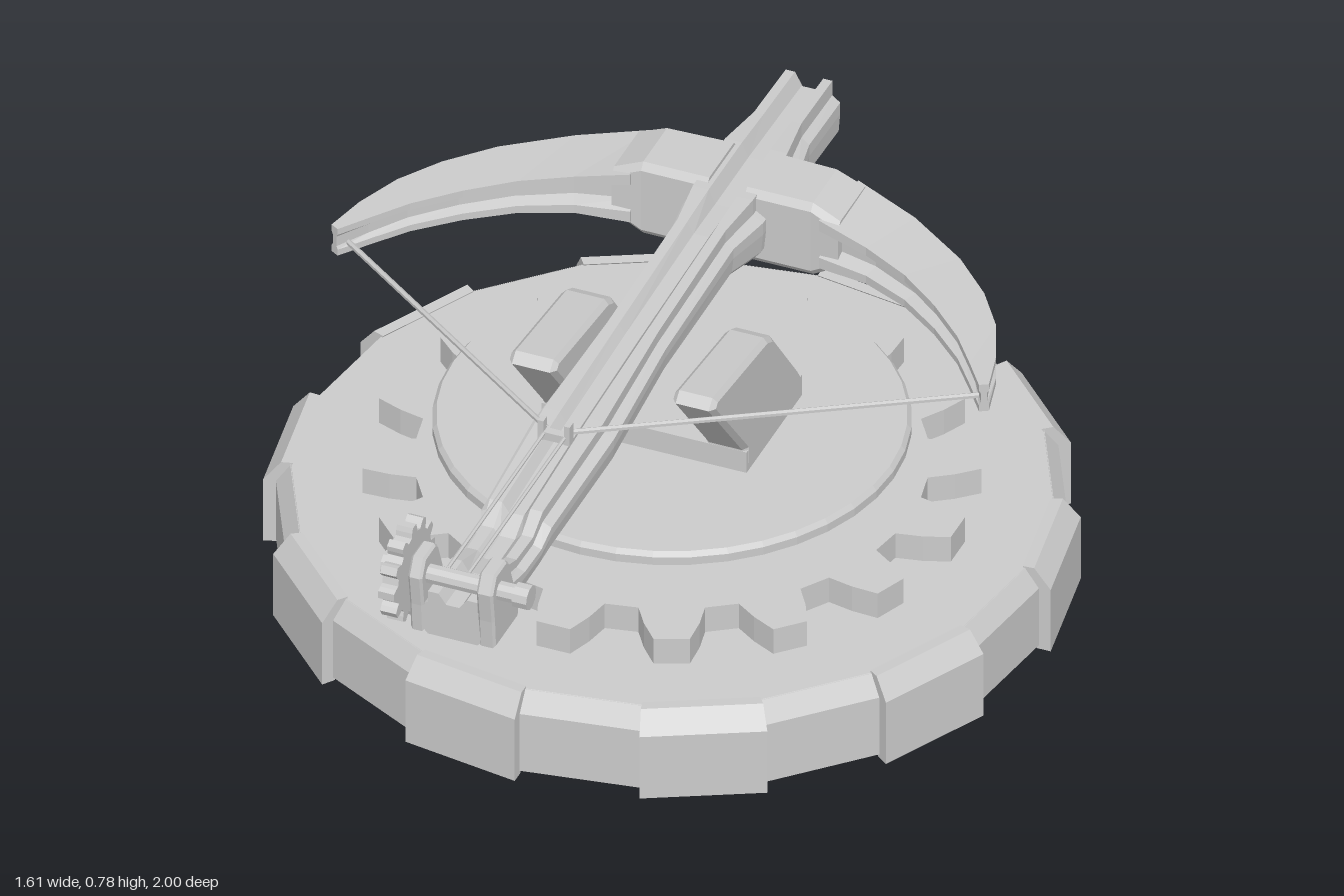
import * as THREE from 'three';

const grey = new THREE.MeshStandardMaterial({ color: 0xcccccc, flatShading: true });
const greyDouble = new THREE.MeshStandardMaterial({ color: 0xcccccc, flatShading: true, side: THREE.DoubleSide });
const V = (x, y, z) => new THREE.Vector3(x, y, z);
const BASE_Z = -0.2;

// Closed solid through equal-length rings of points, facing outward either way round
function loft(rings) {
  const tris = [];
  const n = rings[0].length;
  for (let i = 0; i + 1 < rings.length; i++) {
    for (let j = 0; j < n; j++) {
      const k = (j + 1) % n;
      const [a, b, c, d] = [rings[i][j], rings[i][k], rings[i + 1][k], rings[i + 1][j]];
      tris.push([a, b, c], [a, c, d]);
    }
  }
  [rings[0], rings[rings.length - 1]].forEach((ring, end) => {
    const mid = ring.reduce((s, p) => s.add(p), V(0, 0, 0)).divideScalar(n);
    ring.forEach((p, j) => {
      const q = ring[(j + 1) % n];
      tris.push(end ? [mid, p, q] : [mid, q, p]);
    });
  });
  const volume = tris.reduce((s, [a, b, c]) => s + a.dot(b.clone().cross(c)), 0);
  const pts = tris.flatMap(t => (volume < 0 ? [t[0], t[2], t[1]] : t));
  const geo = new THREE.BufferGeometry().setFromPoints(pts);
  geo.computeVertexNormals();
  return geo;
}

// Toothed wheel in the XY plane, thickness along z
function gearGeometry(teeth, root, tip, depth, hole) {
  const shape = new THREE.Shape();
  const step = (Math.PI * 2) / teeth;
  for (let i = 0; i < teeth; i++) {
    [[-0.33, root], [-0.25, (root + tip) / 2], [-0.15, tip], [0.15, tip], [0.25, (root + tip) / 2], [0.33, root]]
      .forEach(([f, r], j) => {
        const a = (i + f) * step;
        shape[i + j ? 'lineTo' : 'moveTo'](r * Math.cos(a), r * Math.sin(a));
      });
  }
  shape.closePath();
  shape.holes.push(new THREE.Path().absarc(0, 0, hole, 0, Math.PI * 2, true));
  return new THREE.ExtrudeGeometry(shape, { depth, bevelEnabled: false, curveSegments: 12 });
}

// Side outline given as (z, y), extruded from x0 to x1 with bevelled edges
function sidePlate(points, x0, x1, bevel) {
  const shape = new THREE.Shape(points.map(([z, y]) => new THREE.Vector2(-z, y)));
  const geo = new THREE.ExtrudeGeometry(shape, {
    depth: x1 - x0 - 2 * bevel, bevelSize: bevel, bevelThickness: bevel, bevelOffset: -bevel, bevelSegments: 1,
  });
  return geo.rotateY(Math.PI / 2).translate(x0 + bevel, 0, 0);
}

// Thin round bar between two points
function bar(a, b, r) {
  return new THREE.TubeGeometry(new THREE.LineCurve3(a, b), 1, r, 6);
}

const lathe = (profile, sides) => new THREE.LatheGeometry(profile.map(p => new THREE.Vector2(...p)), sides);

export function createModel() {
  const model = new THREE.Group();
  const add = (name, geo, mat = grey) => {
    const mesh = new THREE.Mesh(geo, mat);
    mesh.name = name;
    model.add(mesh);
    return mesh;
  };

  // Hollow base: thin ring, floor plate and every other block raised
  add('baseRing', lathe([[0.778, 0.008], [0.778, 0.145], [0.748, 0.187]], 20), greyDouble).position.z = BASE_Z;
  add('baseFloor', new THREE.RingGeometry(0.15, 0.75, 20).rotateX(-Math.PI / 2), greyDouble).position.set(0, 0.186, BASE_Z);
  const block = [[0.774, 0], [0.803, 0], [0.803, 0.148], [0.768, 0.191], [0.744, 0.19], [0.774, 0.145]];
  for (let i = 0; i < 10; i++) {
    const rings = [18 + 36 * i, 36 + 36 * i].map(deg => {
      const a = THREE.MathUtils.degToRad(deg);
      return block.map(([r, y]) => V(r * Math.sin(a), y, r * Math.cos(a)));
    });
    add('baseBlock', loft(rings)).position.z = BASE_Z;
  }

  // Turning gear, reaching below the floor, with a shallow socket underneath
  add('baseGear', gearGeometry(16, 0.505, 0.607, 0.105, 0.152).rotateX(-Math.PI / 2)).position.set(0, 0.14, BASE_Z);
  add('gearSocket', new THREE.CircleGeometry(0.153, 24).rotateX(Math.PI / 2)).position.set(0, 0.17, BASE_Z);
  const table = [[0, 0.246], [0.36, 0.246], [0.36, 0.325], [0.47, 0.325], [0.47, 0.343], [0.462, 0.353], [0, 0.353]];
  add('turntable', lathe(table, 40)).position.z = BASE_Z;

  // Bracket with two leaning arms
  const arm = [[-0.072, 0.36], [-0.072, 0.405], [0.1, 0.613], [0.08, 0.632], [-0.18, 0.605], [-0.21, 0.59], [-0.355, 0.405], [-0.355, 0.36]];
  add('bracketArm', sidePlate(arm, -0.225, -0.125, 0.01));
  add('bracketArm', sidePlate(arm, 0.122, 0.212, 0.01));
  add('bracketPlate', new THREE.BoxGeometry(0.435, 0.05, 0.283).translate(-0.006, 0.377, -0.213));

  // Grooved stock: z, half width, bottom, top
  const stock = [
    [0.92, 0.07, 0.553, 0.655], [0.8, 0.07, 0.553, 0.655], [0.72, 0.07, 0.555, 0.627],
    [0.64, 0.072, 0.56, 0.627], [0.595, 0.075, 0.565, 0.66], [0.3, 0.085, 0.583, 0.682],
    [0, 0.07, 0.598, 0.694], [-0.35, 0.068, 0.595, 0.707], [-0.46, 0.085, 0.57, 0.712],
    [-0.63, 0.088, 0.57, 0.712], [-0.74, 0.067, 0.572, 0.707], [-0.9, 0.066, 0.565, 0.703],
  ];
  const stockRing = ([z, w, b, t]) => {
    const h = t - b;
    const half = [[w * 0.75, b], [w * 0.95, b + 0.15 * h], [w, b + 0.45 * h], [w, b + 0.65 * h],
      [w * 0.75, b + 0.75 * h], [w * 0.75, t], [0.03, t], [0.016, t - 0.22 * h]];
    return [...half, ...half.map(([x, y]) => [-x, y]).reverse()].map(([x, y]) => V(x, y, z));
  };
  add('stock', loft(stock.map(stockRing)));
  add('stockNose', loft([stockRing([-0.895, 0.055, 0.57, 0.695]), stockRing([-0.928, 0.05, 0.595, 0.645])]));

  for (const s of [-1, 1]) {
    // Clamp block between stock and limb: x, bottom, top, back z, front z
    const clamp = [[0.04, 0.548, 0.72, -0.625, -0.475], [0.18, 0.548, 0.72, -0.62, -0.475], [0.24, 0.585, 0.695, -0.62, -0.47]];
    add('bowClamp', loft(clamp.map(([x, b, t, z0, z1]) => [
      [z0, b + 0.015], [z0 + 0.012, b], [z1 - 0.012, b], [z1, b + 0.015],
      [z1, t - 0.015], [z1 - 0.012, t], [z0 + 0.012, t], [z0, t - 0.015],
    ].map(([z, y]) => V(s * x, y, z)))));

    // Curved limb channelled on both faces: outer x z, inner x z, bottom, top
    const limb = [
      [0.22, -0.622, 0.2, -0.468, 0.58, 0.695], [0.36, -0.575, 0.31, -0.445, 0.588, 0.675],
      [0.49, -0.492, 0.41, -0.4, 0.59, 0.667], [0.575, -0.41, 0.5, -0.335, 0.591, 0.662],
      [0.635, -0.325, 0.58, -0.26, 0.592, 0.659], [0.675, -0.23, 0.635, -0.19, 0.592, 0.657],
      [0.697, -0.14, 0.68, -0.13, 0.592, 0.656],
    ];
    add('bowLimb', loft(limb.map(([ox, oz, ix, iz, b, t]) => [
      [0, 0], [0, 0.22], [0.2, 0.32], [0.2, 0.68], [0, 0.78], [0, 1],
      [1, 1], [1, 0.78], [0.8, 0.68], [0.8, 0.32], [1, 0.22], [1, 0],
    ].map(([f, g]) => V(s * (ox + (ix - ox) * f), b + (t - b) * g, oz + (iz - oz) * f)))));

    // String and draw rope
    add('bowString', bar(V(s * 0.672, 0.61, -0.16), V(s * 0.02, 0.705, 0.39), 0.006));
    add('drawRope', bar(V(s * 0.022, 0.7, 0.4), V(s * 0.022, 0.7, 0.89), 0.004));
    add('stringHook', new THREE.BoxGeometry(0.012, 0.045, 0.018).translate(s * 0.028, 0.707, 0.395));

    // Winch cheek plates
    const cheek = [[0.92, 0.555], [0.8, 0.555], [0.797, 0.59], [0.845, 0.715], [0.86, 0.728], [0.915, 0.728], [0.935, 0.69], [0.925, 0.62]];
    add('winchCheek', sidePlate(cheek, s > 0 ? 0.055 : -0.09, s > 0 ? 0.09 : -0.06, 0.005));
  }
  add('stringHookBar', new THREE.BoxGeometry(0.064, 0.018, 0.018).translate(0, 0.695, 0.395));

  // Winch axle, end knobs and toothed wheel
  const axle = (name, x0, x1, r) =>
    add(name, new THREE.CylinderGeometry(r, r, x1 - x0, 10).rotateZ(Math.PI / 2).translate((x0 + x1) / 2, 0.68, 0.895));
  axle('winchAxle', -0.155, 0.14, 0.02);
  axle('winchKnob', 0.125, 0.156, 0.026);
  axle('winchKnob', -0.154, -0.122, 0.026);
  add('winchGear', gearGeometry(12, 0.085, 0.105, 0.034, 0.012).rotateY(Math.PI / 2).translate(-0.125, 0.68, 0.895));

  return model;
}
